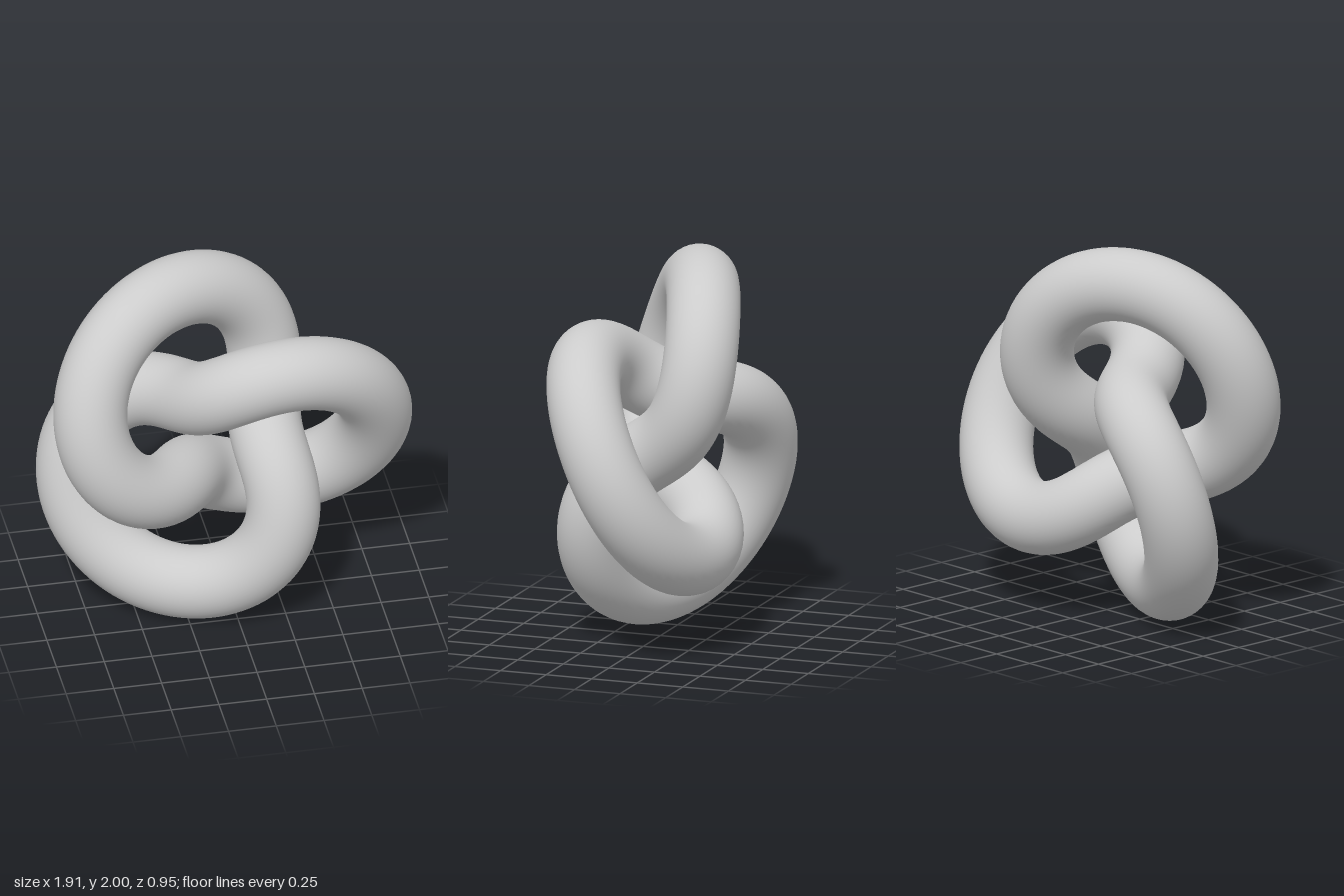
import * as THREE from 'three';

export function createModel() {
  const model = new THREE.Group();
  model.name = 'trefoilKnot';

  // Round tube running along a closed (2,3) torus knot, one lobe pointing to +x
  const radius = 0.572;
  const tubeRadius = 0.19;
  const knot = new THREE.Mesh(
    new THREE.TorusKnotGeometry(radius, tubeRadius, 320, 40, 2, 3),
    new THREE.MeshStandardMaterial({ color: 0xcccccc })
  );
  knot.name = 'knotTube';
  knot.position.set(-0.091, 1, 0);
  model.add(knot);

  return model;
}
